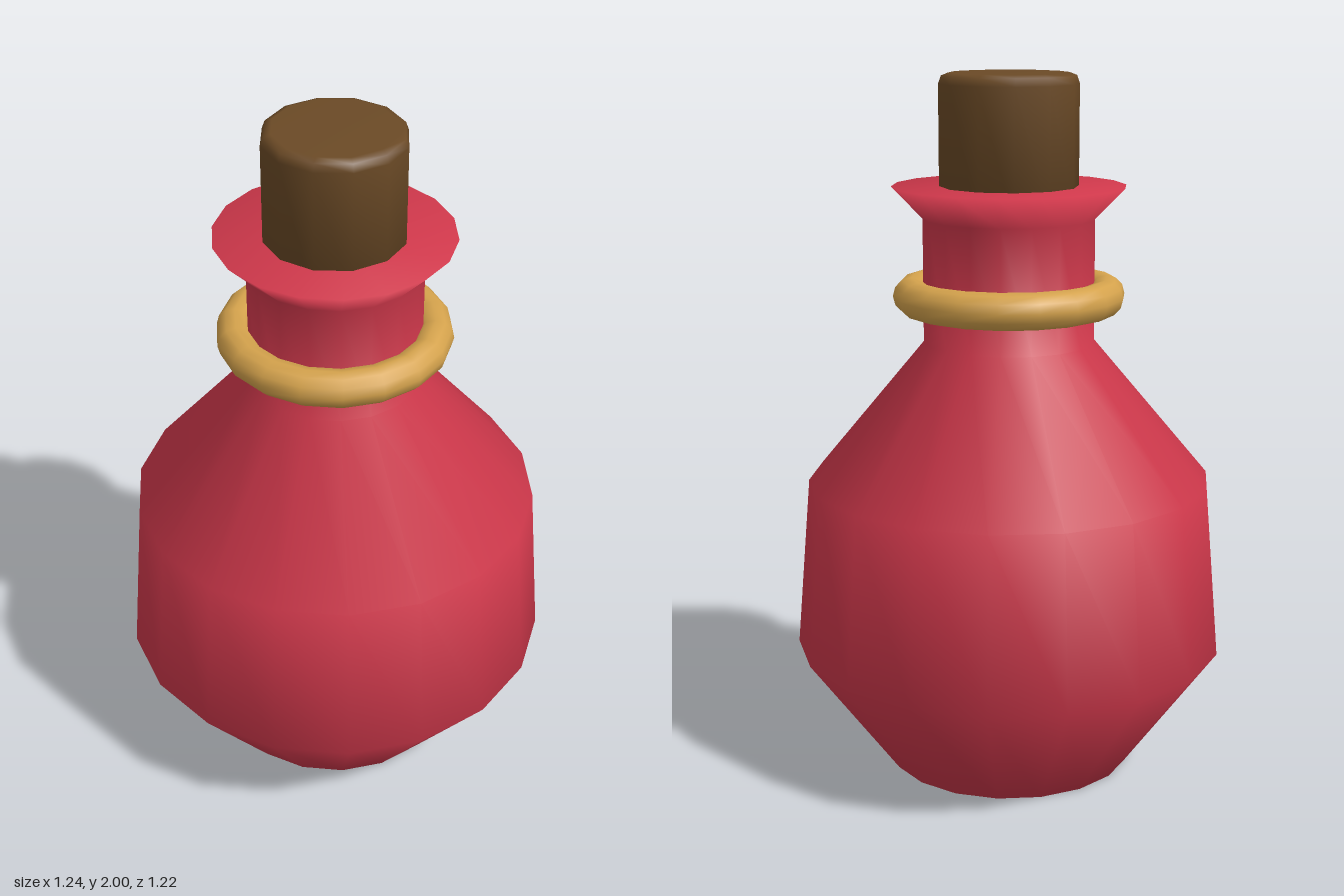
import * as THREE from 'three';

const material = (name, color) => {
  const m = new THREE.MeshStandardMaterial({ color });
  m.name = name;
  return m;
};

// Smooth turned solid with a vertex on the x axis
function turned(name, profile, sides, mat) {
  const points = profile.map(([r, y]) => new THREE.Vector2(r, y));
  const mesh = new THREE.Mesh(new THREE.LatheGeometry(points, sides, Math.PI / 2), mat);
  mesh.name = name;
  return mesh;
}

export function createModel() {
  const red = material('red glass', 0xcf384b);
  const gold = material('gold', 0xd4a24c);
  const brown = material('cork brown', 0x6b4a26);
  const group = new THREE.Group();
  group.name = 'potionBottle';

  // Closed bottle: base, belly, shoulder, neck and flared lip
  group.add(turned('bottle', [
    [0, 0], [0.355, 0], [0.62, 0.36], [0.578, 0.85], [0.243, 1.25],
    [0.243, 1.6], [0.33, 1.69], [0, 1.69],
  ], 18, red));

  // Cork with a softened top edge
  group.add(turned('cork', [
    [0, 1.6], [0.196, 1.6], [0.196, 1.97], [0.188, 1.992], [0.168, 2], [0, 2],
  ], 12, brown));

  // Ring around the neck
  const ring = new THREE.Mesh(new THREE.TorusGeometry(0.277, 0.052, 12, 18), gold);
  ring.name = 'neckRing';
  ring.rotation.x = Math.PI / 2;
  ring.position.y = 1.382;
  group.add(ring);

  return group;
}
